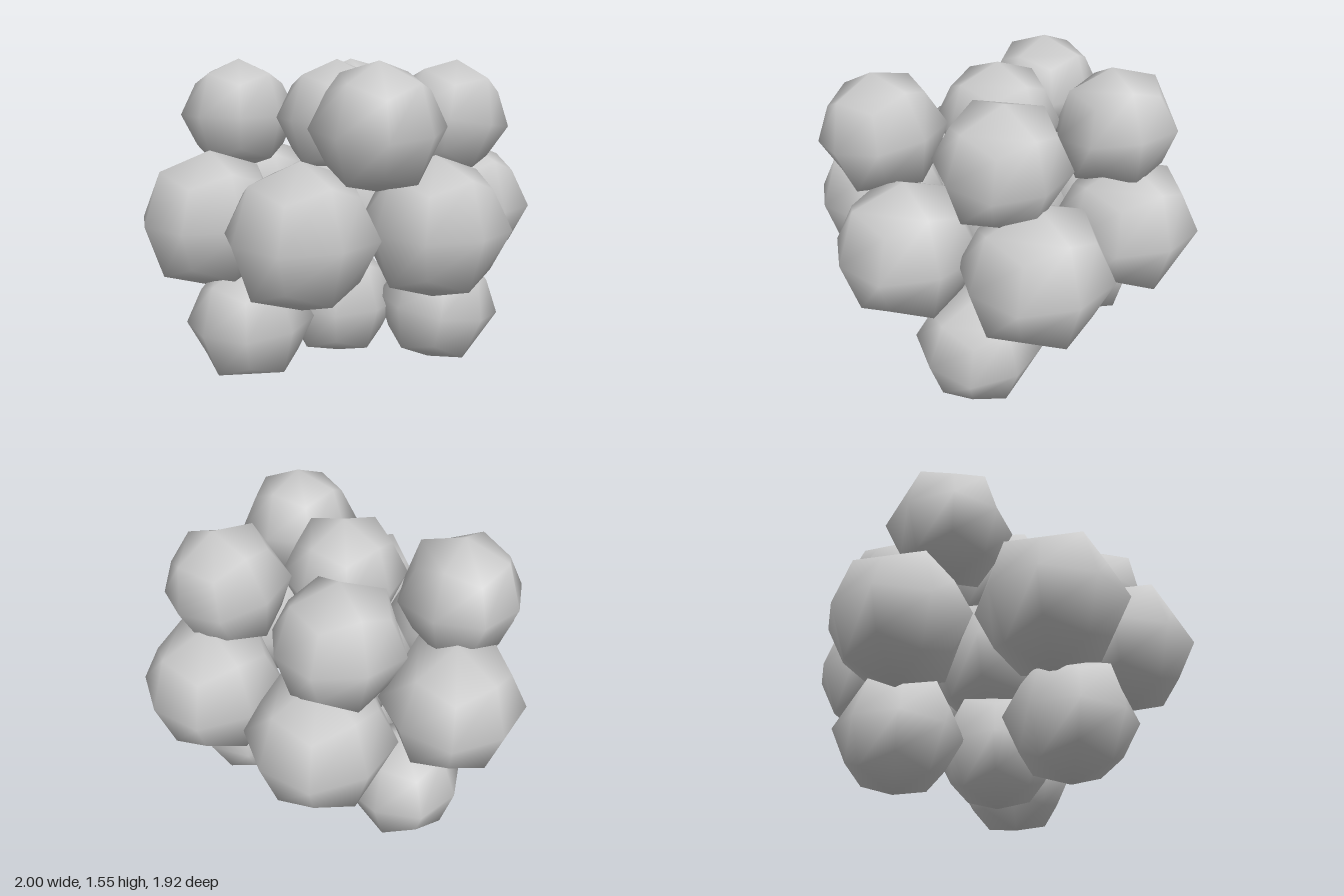
import * as THREE from 'three';
import { mergeVertices } from 'three/addons/utils/BufferGeometryUtils.js';

// Unit ball: a cube split once per side, with edges and corners drawn in, smooth shaded
function ballGeometry() {
  const box = new THREE.BoxGeometry(2, 2, 2, 2, 2, 2);
  box.deleteAttribute('uv');
  box.deleteAttribute('normal');
  const geo = mergeVertices(box, 1e-4);
  const pos = geo.attributes.position;
  const pull = [0, 1, 0.75, 0.5556]; // face centre, edge, corner
  const v = new THREE.Vector3();
  for (let i = 0; i < pos.count; i++) {
    v.fromBufferAttribute(pos, i);
    v.multiplyScalar(pull[Math.round(v.lengthSq())]);
    pos.setXYZ(i, v.x, v.y, v.z);
  }
  geo.computeVertexNormals();
  return geo;
}

// Each layer: height, ball radius, and balls as [x, z, yaw, tiltX, tiltZ] in degrees
const layers = [
  { name: 'bottomBall', y: 0.295, radius: 0.295, balls: [
    [0.0, 0.02, 10, 0, 0],
    [0.39, 0.375, 8, 4, -8],
    [-0.545, 0.07, 15, 0, 3],
    [0.035, -0.51, 20, 3, 0],
  ] },
  { name: 'middleBall', y: 0.78, radius: 0.34, balls: [
    [0, 0],
    [0.66, 0.23],
    [0.15, 0.62],
    [-0.48, 0.465],
    [-0.66, -0.105],
    [-0.155, -0.625],
    [0.49, -0.417],
  ] },
  { name: 'topBall', y: 1.258, radius: 0.295, balls: [
    [-0.01, 0.025, 8, 0, 0],
    [-0.325, -0.46, 20, 0, 0],
    [0.375, -0.41, -14, 5, 5],
    [0.49, 0.3, 6, 4, -8],
    [-0.15, 0.58, 18, 5, 4],
  ] },
];

export function createModel() {
  const model = new THREE.Group();
  model.name = 'ballCluster';
  const geometry = ballGeometry();
  const material = new THREE.MeshStandardMaterial({ color: 0xcccccc });
  const rad = THREE.MathUtils.degToRad;

  for (const { name, y, radius, balls } of layers) {
    balls.forEach(([x, z, yaw = 0, tiltX = 0, tiltZ = 0], i) => {
      const ball = new THREE.Mesh(geometry, material);
      ball.name = `${name}${i + 1}`;
      ball.position.set(x, y, z);
      ball.rotation.set(rad(tiltX), rad(yaw), rad(tiltZ));
      ball.scale.setScalar(radius);
      model.add(ball);
    });
  }
  return model;
}
